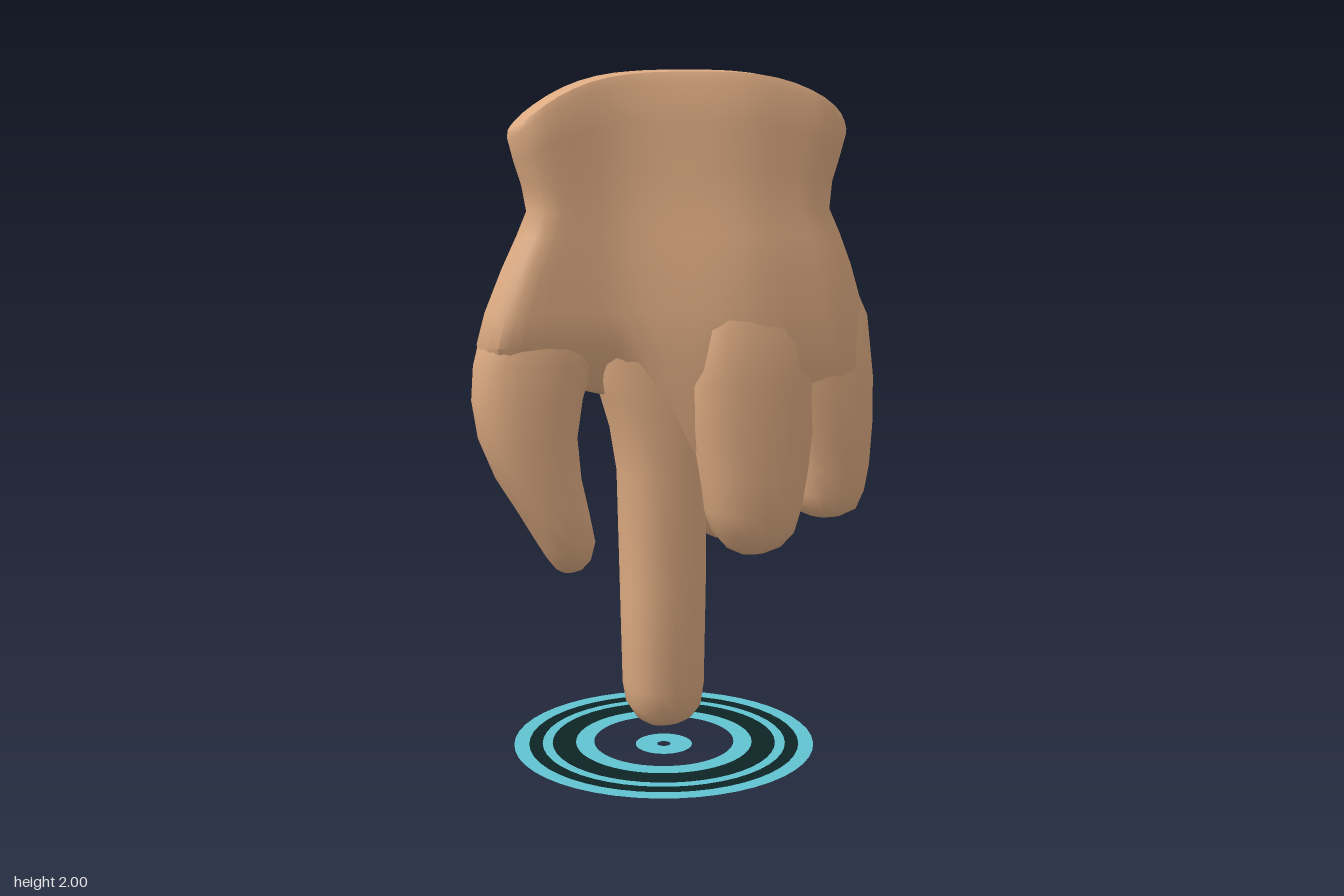
import * as THREE from 'three';
import { toCreasedNormals } from 'three/addons/utils/BufferGeometryUtils.js';

const skin = new THREE.MeshStandardMaterial({ color: 0xdba980 });
skin.name = 'skin';
const blue = new THREE.MeshStandardMaterial({ color: 0x62c2d1, side: THREE.DoubleSide });
blue.name = 'ringBlue';
const dark = new THREE.MeshStandardMaterial({ color: 0x0d2425, side: THREE.DoubleSide });
dark.name = 'ringDark';

// Joins closed loops of points, listed from top to bottom, and caps both ends
function loft(loops, crease) {
  const n = loops[0].length, pos = loops.flat(2), idx = [];
  for (let i = 0; i < loops.length - 1; i++) {
    for (let j = 0; j < n; j++) {
      const a = i * n + j, b = i * n + (j + 1) % n;
      idx.push(a, b, a + n, b, b + n, a + n);
    }
  }
  [0, loops.length - 1].forEach((row) => {
    const c = pos.length / 3;
    for (let k = 0; k < 3; k++) pos.push(loops[row].reduce((s, p) => s + p[k], 0) / n);
    for (let j = 0; j < n; j++) {
      const a = row * n + j, b = row * n + (j + 1) % n;
      idx.push(c, ...(row === 0 ? [b, a] : [a, b]));
    }
  });
  const g = new THREE.BufferGeometry();
  g.setAttribute('position', new THREE.Float32BufferAttribute(pos, 3));
  g.setIndex(idx);
  return toCreasedNormals(g, crease);
}

// Finger from rows of [y, left x, right x, back z, front z]
function fingerGeometry(rows, power = 2.5, n = 20) {
  const bend = (v) => Math.sign(v) * Math.abs(v) ** (2 / power);
  return loft(rows.map(([y, x0, x1, z0, z1]) => Array.from({ length: n }, (_, j) => {
    const a = (j / n) * Math.PI * 2;
    return [
      (x0 + x1) / 2 + bend(Math.cos(a)) * (x1 - x0) / 2, y,
      (z0 + z1) / 2 + bend(Math.sin(a)) * (z1 - z0) / 2,
    ];
  })), 1.0);
}

// Palm and cuff from rows of
// [y, left x, right x, thumb-side half depth, finger-side half depth, dome, drop]
function palmGeometry() {
  const rows = [
    [1.835, -0.478, 0.508, 0, 0, 0.165, 0],
    [1.835, -0.48, 0.51, 0.04, 0.1, 0.165, 0],
    [1.83, -0.482, 0.513, 0.068, 0.18, 0.163, 0],
    [1.81, -0.484, 0.516, 0.075, 0.192, 0.155, 0],
    [1.75, -0.468, 0.497, 0.076, 0.195, 0.1, 0],
    [1.68, -0.445, 0.473, 0.076, 0.195, 0.04, 0],
    [1.61, -0.432, 0.464, 0.08, 0.198, 0, 0],
    [1.54, -0.462, 0.495, 0.086, 0.209, 0, 0],
    [1.45, -0.505, 0.53, 0.092, 0.217, 0, 0],
    [1.33, -0.555, 0.567, 0.098, 0.221, 0, 0],
    [1.24, -0.58, 0.582, 0.098, 0.218, 0, 0.08],
    [1.17, -0.56, 0.57, 0.06, 0.15, 0, 0.26],
  ];
  const n = 52;
  return loft(rows.map(([y, x0, x1, zl, zr, dome, drop]) => Array.from({ length: n }, (_, j) => {
    const a = (j / n) * Math.PI * 2, u = Math.cos(a);
    const x = (x0 + x1) / 2 + u * (x1 - x0) / 2;
    const near = Math.min((x - x0) / 0.08, (x1 - x) / 0.14, 1);
    const round = Math.sqrt(Math.max(0, 1 - (1 - near) ** 2));
    const depth = THREE.MathUtils.lerp(zl, zr, THREE.MathUtils.smoothstep(x, -0.25, 0.22));
    return [
      x,
      y + dome * (1 - Math.abs(u) ** 3) - drop * THREE.MathUtils.smoothstep(x, -0.2, 0.05),
      Math.sign(Math.round(Math.sin(a) * 1e6)) * depth * round,
    ];
  })), 0.8);
}

export function createModel() {
  const model = new THREE.Group();
  const hand = new THREE.Group();
  hand.name = 'hand';
  model.add(hand);
  const add = (parent, name, geometry, material) => {
    const mesh = new THREE.Mesh(geometry, material);
    mesh.name = name;
    parent.add(mesh);
    return mesh;
  };

  add(hand, 'palmAndCuff', palmGeometry(), skin);

  const even = (rows) => rows.map(([y, x0, x1, z]) => [y, x0, x1, -z, z]);
  add(hand, 'thumb', fingerGeometry(even([
    [1.42, -0.48, -0.25, 0.05], [1.28, -0.567, -0.23, 0.092], [1.18, -0.592, -0.25, 0.102],
    [1.08, -0.598, -0.282, 0.109], [0.97, -0.58, -0.3, 0.112], [0.85, -0.53, -0.29, 0.112],
    [0.75, -0.468, -0.268, 0.108], [0.66, -0.415, -0.25, 0.1], [0.61, -0.385, -0.262, 0.08],
    [0.58, -0.362, -0.285, 0.05], [0.57, -0.345, -0.305, 0.025],
  ])), skin);

  add(hand, 'pointingFinger', fingerGeometry(even([
    [1.45, -0.24, 0.08, 0.05], [1.18, -0.252, 0.1, 0.102], [1.08, -0.218, 0.1, 0.113],
    [0.98, -0.187, 0.095, 0.118], [0.85, -0.165, 0.092, 0.122], [0.5, -0.156, 0.09, 0.125],
    [0.2, -0.15, 0.086, 0.115], [0.14, -0.14, 0.078, 0.106], [0.1, -0.115, 0.052, 0.08],
    [0.08, -0.085, 0.022, 0.05],
  ])), skin);

  // Two curled fingers side by side, mirrored front to back
  const curled = [
    [1.5, 0.1, 0.38, 0.03, 0.17], [1.28, 0.02, 0.42, 0, 0.222], [1.12, 0, 0.42, -0.01, 0.227],
    [0.98, 0.018, 0.395, -0.01, 0.226], [0.85, 0.042, 0.37, 0, 0.224], [0.74, 0.062, 0.352, 0, 0.22],
    [0.67, 0.09, 0.332, 0.015, 0.205], [0.625, 0.13, 0.295, 0.045, 0.17], [0.605, 0.17, 0.25, 0.08, 0.135],
  ];
  add(hand, 'frontCurledFinger', fingerGeometry(curled), skin);
  add(hand, 'backCurledFinger',
    fingerGeometry(curled.map(([y, x0, x1, z0, z1]) => [y, x0, x1, -z1, -z0])), skin);

  add(hand, 'outerFinger', fingerGeometry(even([
    [1.5, 0.25, 0.49, 0.14], [1.3, 0.22, 0.575, 0.205], [1.12, 0.24, 0.595, 0.212],
    [0.98, 0.3, 0.595, 0.205], [0.85, 0.335, 0.588, 0.193], [0.77, 0.346, 0.575, 0.182],
    [0.72, 0.365, 0.555, 0.165], [0.695, 0.4, 0.515, 0.125],
  ]), 3), skin);

  // Flat target of alternating bands under the fingertip
  const target = new THREE.Group();
  target.name = 'target';
  target.position.x = -0.03;
  model.add(target);
  const band = (name, inner, outer, y, material) => add(target, name,
    new THREE.RingGeometry(inner, outer, 48).rotateX(-Math.PI / 2).translate(0, y, 0), material);
  [0.21, 0.265, 0.335, 0.365, 0.405, 0.45].forEach((r, i, radii) => {
    if (i > 0) band('targetBand' + i, radii[i - 1], r, 0.015, i % 2 ? blue : dark);
  });
  band('targetCentre', 0.02, 0.085, 0.004, blue);
  return model;
}
